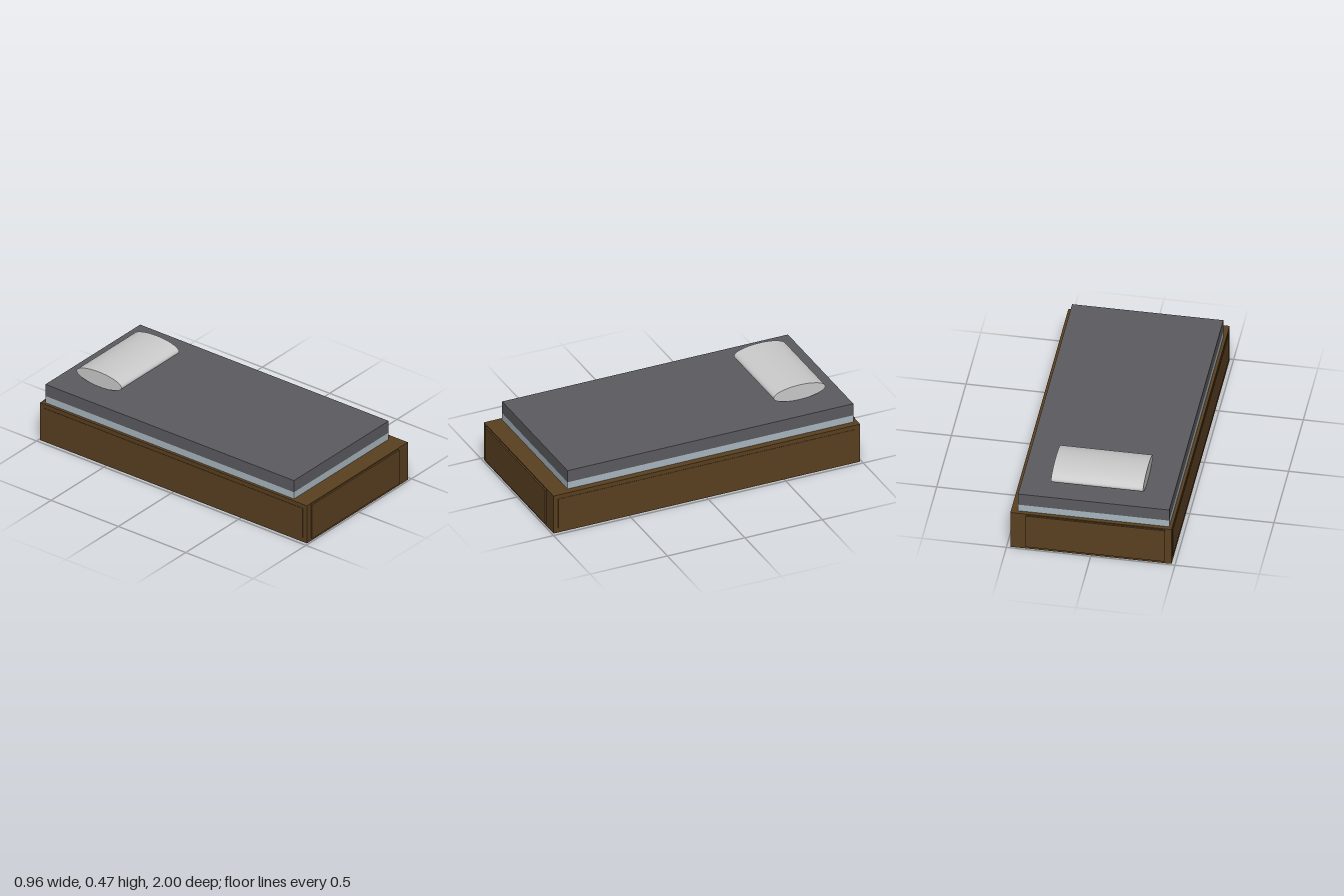
import * as THREE from 'three';

export function createModel() {
  const group = new THREE.Group();
  group.name = 'bed';
  const mat = (color, extra = {}) => new THREE.MeshStandardMaterial({ color, ...extra });
  const wood = mat(0x5a4020);
  const sheet = mat(0xa9b7c0);
  const cover = mat(0x5c5b60);
  const white = mat(0xcccccc);

  // Box given by its limits on each axis
  function box(name, [x0, x1], [y0, y1], [z0, z1], material) {
    const mesh = new THREE.Mesh(new THREE.BoxGeometry(x1 - x0, y1 - y0, z1 - z0), material);
    mesh.position.set((x0 + x1) / 2, (y0 + y1) / 2, (z0 + z1) / 2);
    mesh.name = name;
    group.add(mesh);
  }

  // Solid wooden base with thin raised panels on all four sides
  box('base', [-0.478, 0.478], [0, 0.252], [-0.99, 0.99], wood);
  box('frontPanel', [-0.44, 0.385], [0.018, 0.245], [0.98, 1], wood);
  box('backPanel', [-0.44, 0.385], [0.018, 0.245], [-1, -0.98], wood);
  box('leftPanel', [0.47, 0.48], [0.03, 0.225], [-0.96, 0.96], wood);
  box('rightPanel', [-0.48, -0.47], [0.03, 0.225], [-0.96, 0.96], wood);

  // Mattress and the cover on top of it
  box('mattress', [-0.46, 0.437], [0.252, 0.297], [-0.965, 0.88], sheet);
  box('cover', [-0.46, 0.437], [0.297, 0.375], [-0.965, 0.88], cover);

  // Pillow: an elliptical cylinder lying across the bed
  const geometry = new THREE.CylinderGeometry(1, 1, 0.546, 48);
  geometry.rotateZ(Math.PI / 2);
  geometry.scale(1, 0.049, 0.167);
  const pillow = new THREE.Mesh(geometry, white);
  pillow.position.set(-0.015, 0.424, -0.702);
  pillow.name = 'pillow';
  group.add(pillow);

  return group;
}
